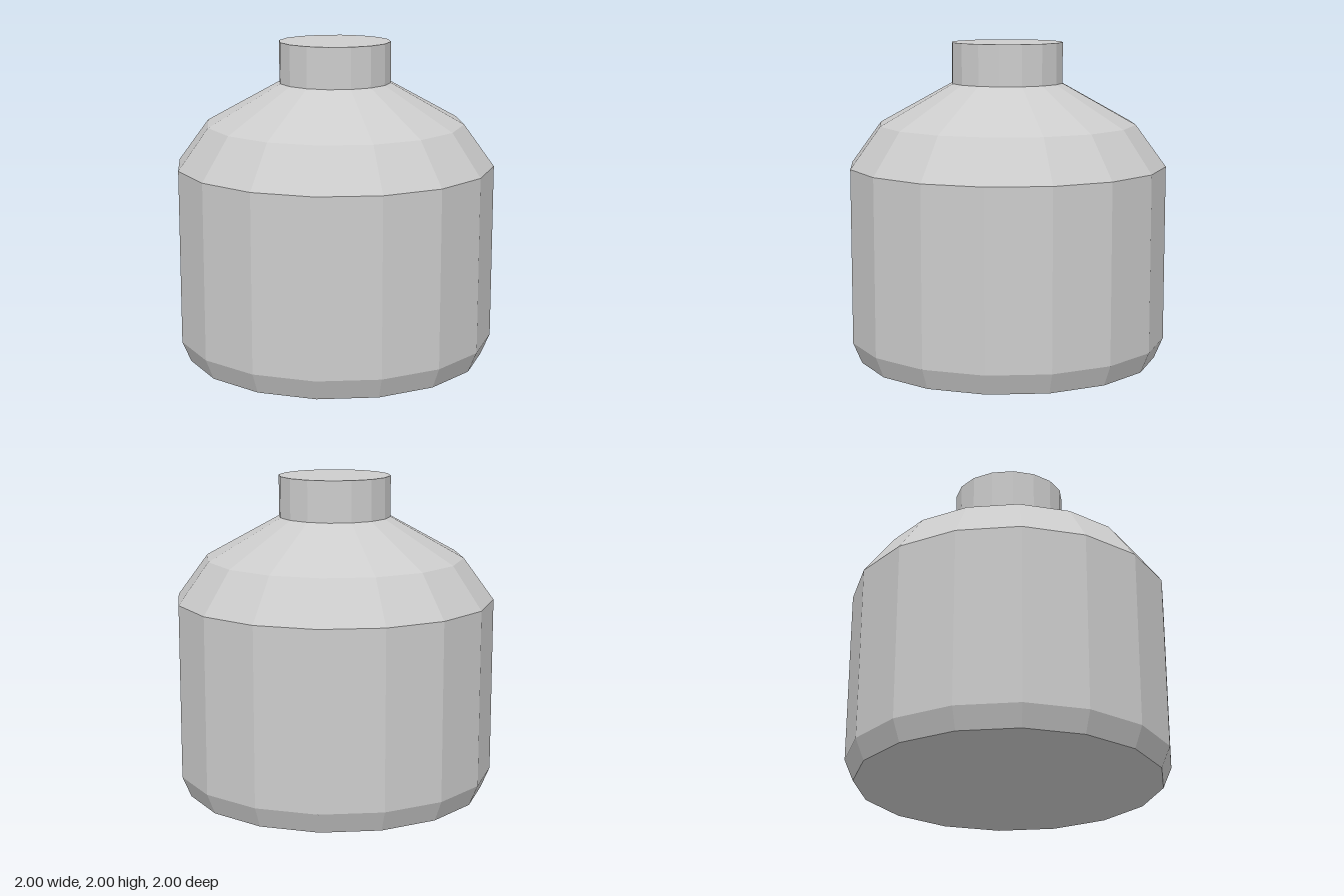
import * as THREE from 'three';

const SIDES = 16;

// Faceted turned part from [radius, height] points, listed bottom to top
function turned(name, profile, material) {
  const points = profile.map(([r, y]) => new THREE.Vector2(r, y));
  const mesh = new THREE.Mesh(new THREE.LatheGeometry(points, SIDES), material);
  mesh.name = name;
  return mesh;
}

export function createModel() {
  const grey = new THREE.MeshStandardMaterial({ color: 0xcccccc, flatShading: true });
  grey.name = 'light grey';

  const model = new THREE.Group();
  model.name = 'bottle';
  model.add(
    // Closed base, bevelled foot and straight wall
    turned('body', [[0, 0], [0.945, 0], [1, 0.13], [1, 1.23]], grey),
    // Two sloping bands up to the neck
    turned('shoulder', [[1, 1.23], [0.81, 1.49], [0.35, 1.745]], grey),
    // Straight neck with a flat top
    turned('neck', [[0.35, 1.745], [0.35, 2], [0, 2]], grey),
  );
  return model;
}
